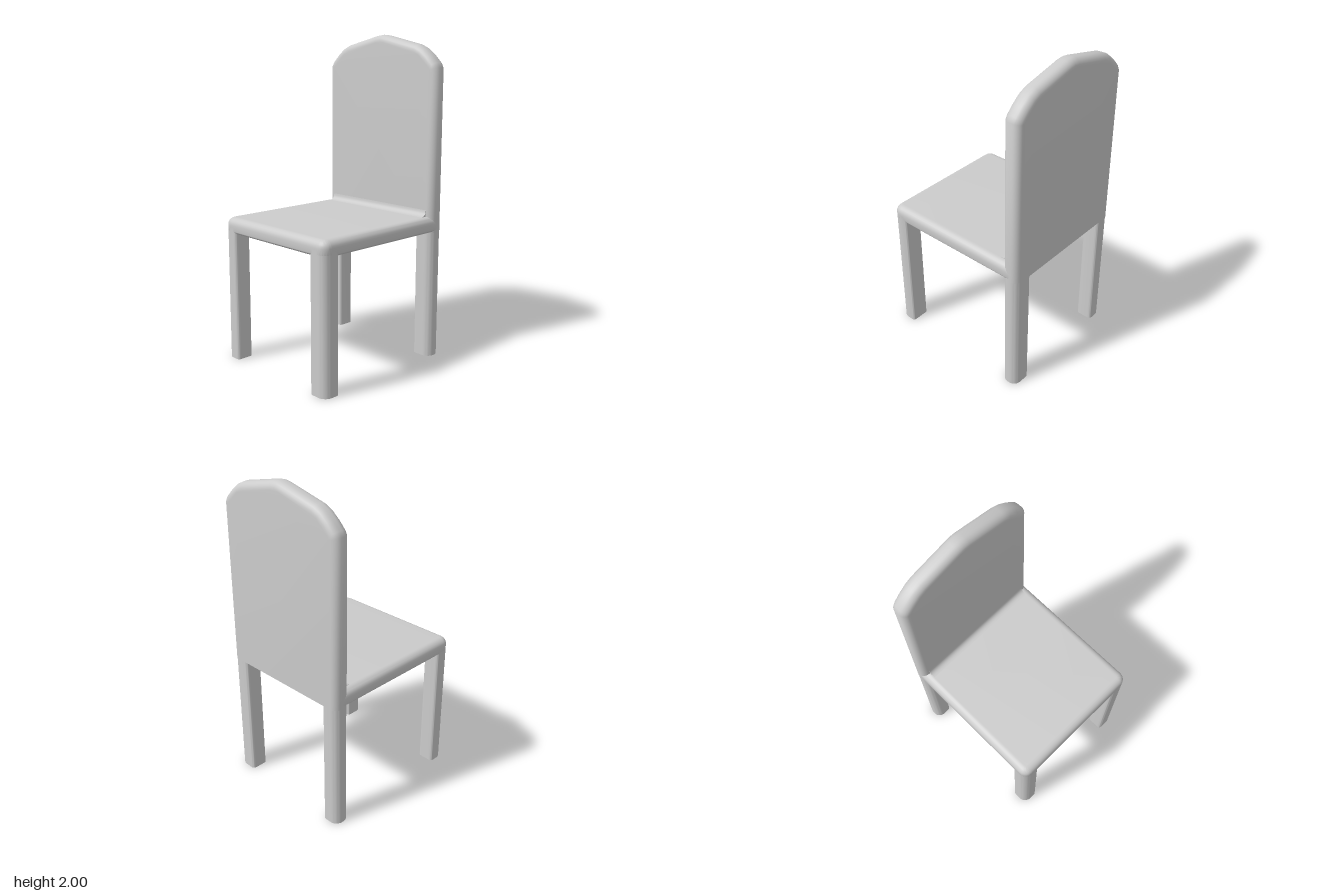
import * as THREE from 'three';
import { toCreasedNormals } from 'three/addons/utils/BufferGeometryUtils.js';

const material = new THREE.MeshStandardMaterial({ color: 0xcccccc });

function addPart(group, name, geometry) {
  const mesh = new THREE.Mesh(toCreasedNormals(geometry, 0.65), material);
  mesh.name = name;
  group.add(mesh);
}

// Rectangle with its own radius per corner: [x0y0, x1y0, x1y1, x0y1]
function roundedRect(x0, y0, x1, y1, [a, b, c, d]) {
  const s = new THREE.Shape();
  const arc = (x, y, r, start) => s.absarc(x, y, r, start, start + Math.PI / 2, false);
  arc(x0 + a, y0 + a, a, Math.PI);
  arc(x1 - b, y0 + b, b, Math.PI * 1.5);
  arc(x1 - c, y1 - c, c, 0);
  arc(x0 + d, y1 - d, d, Math.PI / 2);
  s.closePath();
  return s;
}

// Extrusion whose rounded edges stay inside the outline and the depth
function roundedSlab(shape, depth, r) {
  return new THREE.ExtrudeGeometry(shape, {
    depth: depth - 2 * r, bevelThickness: r, bevelSize: r, bevelOffset: -r,
    bevelSegments: 6, curveSegments: 6,
  }).translate(0, 0, r);
}

function moveVertices(geometry, rule) {
  const p = geometry.attributes.position;
  const v = new THREE.Vector3();
  for (let i = 0; i < p.count; i++) {
    rule(v.fromBufferAttribute(p, i));
    p.setXYZ(i, v.x, v.y, v.z);
  }
  return geometry;
}

export function createModel() {
  const group = new THREE.Group();
  group.name = 'chair';

  // Seat: generously rounded above, only slightly below
  const seat = roundedSlab(roundedRect(-0.45, -0.5, 0.45, 0.45, [0.055, 0.055, 0.01, 0.01]), 0.1, 0.045);
  seat.rotateX(-Math.PI / 2).translate(0, 0.8, 0);
  moveVertices(seat, (v) => {
    if (v.y < 0.846) v.y = 0.8 + (v.y - 0.8) * 0.45;
  });
  addPart(group, 'seat', seat);

  // Backrest: slightly peaked top, rounded sides, flat lower end
  const half = [[0.45, 0.8], [0.45, 1.8], [0.435, 1.83], [0.39, 1.875], [0.34, 1.915], [0.29, 1.938], [0.04, 1.995]];
  const outline = [...half, [0, 2], ...half.map(([x, y]) => [-x, y]).reverse()];
  const back = roundedSlab(new THREE.Shape(outline.map(([x, y]) => new THREE.Vector2(x, y))), 0.11, 0.045);
  back.translate(0, 0, -0.5);
  moveVertices(back, (v) => {
    if (v.y < 0.9) v.y = 0.8;
  });
  addPart(group, 'backrest', back);

  // Fillet where the seat meets the backrest
  const cove = new THREE.Shape();
  cove.moveTo(-0.41, 0.88);
  cove.lineTo(-0.35, 0.88);
  cove.lineTo(-0.35, 0.9);
  cove.quadraticCurveTo(-0.388, 0.902, -0.39, 0.94);
  cove.lineTo(-0.41, 0.94);
  const fillet = new THREE.ExtrudeGeometry(cove, { depth: 0.81, bevelEnabled: false, curveSegments: 6 });
  addPart(group, 'seatFillet', fillet.rotateY(-Math.PI / 2).translate(0.405, 0, 0));

  // Legs: rounded on the outside, lightly eased on the inside
  for (const side of [1, -1]) {
    const name = side > 0 ? 'Left' : 'Right';
    const inner = side > 0 ? 0.325 : 0.34;
    for (const [place, z0, z1, radii] of [
      ['front', 0.39, 0.5, [0.02, 0.02, 0.055, 0.02]],
      ['rear', -0.5, -0.39, [0.02, 0.05, 0.05, 0.02]],
    ]) {
      const [a, b, c, d] = radii;
      // Plan is drawn as (x, -z) and then stood upright
      const plan = side > 0
        ? roundedRect(inner, -z1, 0.45, -z0, [d, c, b, a])
        : roundedRect(-0.45, -z1, -inner, -z0, [c, d, a, b]);
      const leg = new THREE.ExtrudeGeometry(plan, { depth: 0.845, bevelEnabled: false, curveSegments: 5 });
      addPart(group, place + name + 'Leg', leg.rotateX(-Math.PI / 2));
    }
  }
  return group;
}
